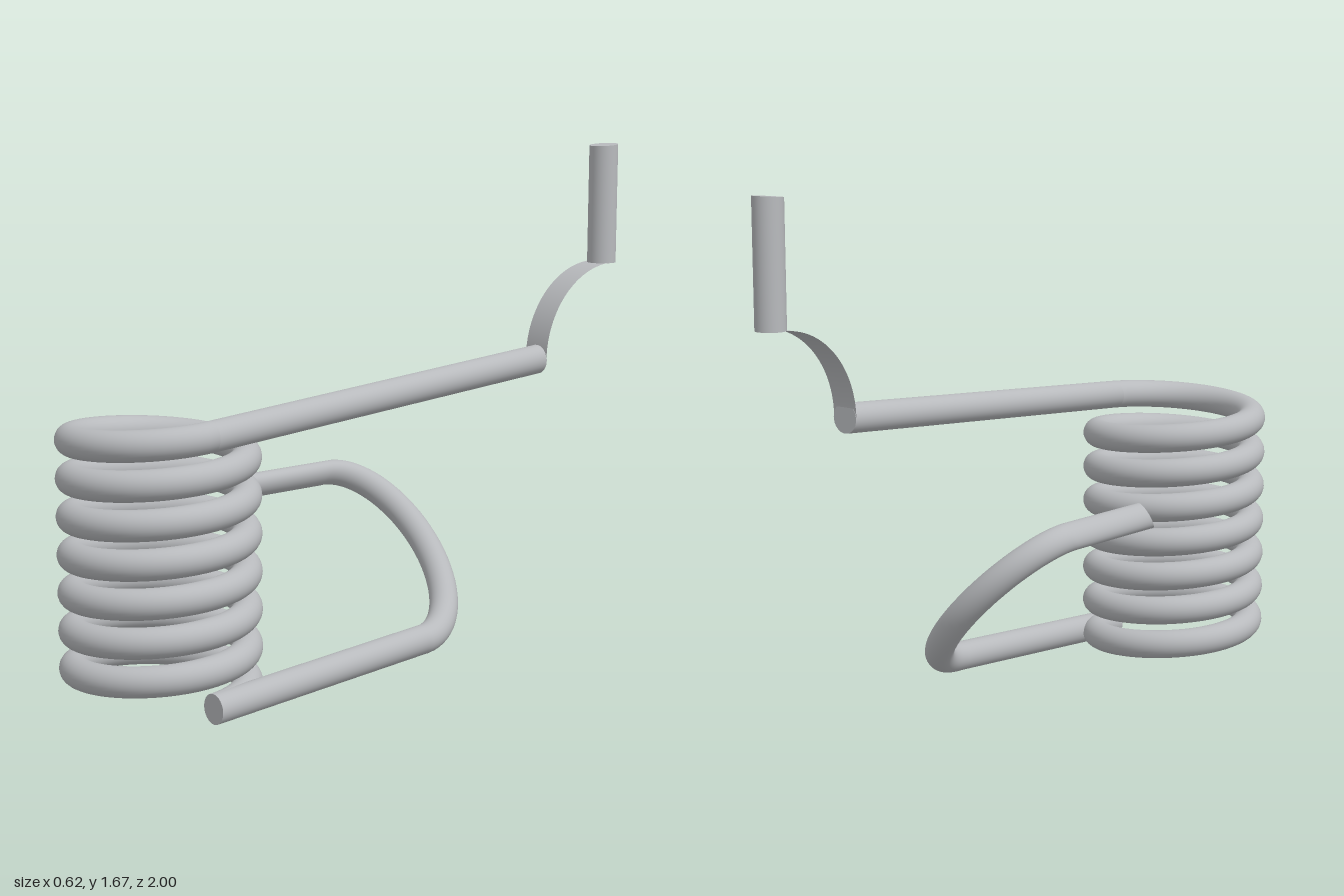
import * as THREE from 'three';

const WIRE = 0.0475, SIDES = 32;      // wire radius and roundness
const R = 0.265, PITCH = 0.1184, TURNS = 7, Y0 = 0.05, ZC = 0.6875; // coil
const SLOPE = PITCH / (2 * Math.PI * R);
const V = (x, y, z) => new THREE.Vector3(x, y, z);

// Sweep a capped round section through stations [centre, section normal]
function sweep(stations) {
  const pos = [], idx = [], n = stations.length;
  const rings = stations.map(([c, normal]) => {
    const t = normal.clone().normalize();
    const u = V(0, 1, 0).addScaledVector(t, -t.y).normalize();
    const v = t.clone().cross(u);
    return Array.from({ length: SIDES }, (_, j) => {
      const a = (j / SIDES) * Math.PI * 2;
      return c.clone().addScaledVector(u, WIRE * Math.cos(a)).addScaledVector(v, WIRE * Math.sin(a));
    });
  });
  rings.forEach((ring) => ring.forEach((p) => pos.push(p.x, p.y, p.z)));
  for (let i = 0; i < n - 1; i++) {
    for (let j = 0; j < SIDES; j++) {
      const k = (j + 1) % SIDES;
      const a = i * SIDES + j, b = i * SIDES + k, c = a + SIDES, d = b + SIDES;
      idx.push(a, b, c, b, d, c);
    }
  }
  // end caps with their own vertices, so the rims stay sharp
  for (const end of [0, n - 1]) {
    const base = pos.length / 3;
    rings[end].forEach((p) => pos.push(p.x, p.y, p.z));
    for (let j = 1; j < SIDES - 1; j++) {
      if (end) idx.push(base, base + j, base + j + 1);
      else idx.push(base, base + j + 1, base + j);
    }
  }
  const g = new THREE.BufferGeometry();
  g.setAttribute('position', new THREE.Float32BufferAttribute(pos, 3));
  g.setIndex(idx);
  g.computeVertexNormals();
  return g;
}

export function createModel() {
  const group = new THREE.Group();
  const steel = new THREE.MeshStandardMaterial({ color: 0xb8babd, side: THREE.DoubleSide });
  steel.name = 'steel';
  const add = (name, geometry) => {
    const mesh = new THREE.Mesh(geometry, steel);
    mesh.name = name;
    group.add(mesh);
    return mesh;
  };

  // Coil rising seven turns, running straight on into the upper leg
  const coil = [];
  const steps = TURNS * 56;
  for (let i = 0; i <= steps; i++) {
    const a = (i / steps) * TURNS * Math.PI * 2;
    coil.push([
      V(R * Math.cos(a), Y0 + (PITCH * a) / (2 * Math.PI), ZC - R * Math.sin(a)),
      V(-Math.sin(a), 0, -Math.cos(a)),
    ]);
  }
  add('coil', sweep(coil));

  const yTop = Y0 + PITCH * TURNS, zEnd = -0.6525;
  const yEnd = yTop + SLOPE * (ZC - zEnd);
  const back = V(0, 0, -1);
  add('upperLeg', sweep([[V(R, yTop, ZC), back], [V(R, yEnd, zEnd), back]]));

  // Thin curved strip between the upper leg and the upright pin
  const arc = 0.3;
  const strip = new THREE.CylinderGeometry(arc + 0.002, arc + 0.002, WIRE * 2, 32, 1, true, 0, Math.PI / 2);
  strip.rotateZ(Math.PI / 2); // axis along x, quarter arc from front to top
  const stripMesh = add('curvedStrip', strip);
  stripMesh.position.set(R, yEnd, zEnd - arc);
  // make the quarter occupy the front-top side
  const p = strip.attributes.position;
  for (let i = 0; i < p.count; i++) p.setXYZ(i, p.getX(i), Math.abs(p.getY(i)), Math.abs(p.getZ(i)));
  strip.computeVertexNormals();

  // Upright pin with a slightly slanted top
  const pinBase = yEnd + arc, pinTop = 1.666, h = pinTop - pinBase;
  const pin = new THREE.CylinderGeometry(WIRE, WIRE, h, SIDES);
  const q = pin.attributes.position;
  for (let i = 0; i < q.count; i++) if (q.getY(i) > 0) q.setY(i, h / 2 - SLOPE * q.getZ(i));
  add('uprightPin', pin).position.set(R, pinBase + h / 2, zEnd - arc);

  // Lower leg, tilted half-round bend and straight hook arm
  const zBend = -0.14, half = 0.2375;
  const yBend = Y0 + SLOPE * (ZC - zBend);
  const hook = [[V(R, Y0, ZC), back]];
  const bendSteps = 40;
  for (let i = 0; i <= bendSteps; i++) {
    const a = (i / bendSteps) * Math.PI, b = a * 0.83;
    hook.push([
      V(R - half + half * Math.cos(a), yBend + half - half * Math.cos(a), zBend - 0.24 * Math.sin(a)),
      V(-Math.sin(b), Math.sin(b), -Math.cos(b)),
    ]);
  }
  const [tip, tipNormal] = hook[hook.length - 1];
  hook.push([V(tip.x, tip.y, 0.247), tipNormal]);
  add('lowerHook', sweep(hook));

  return group;
}
